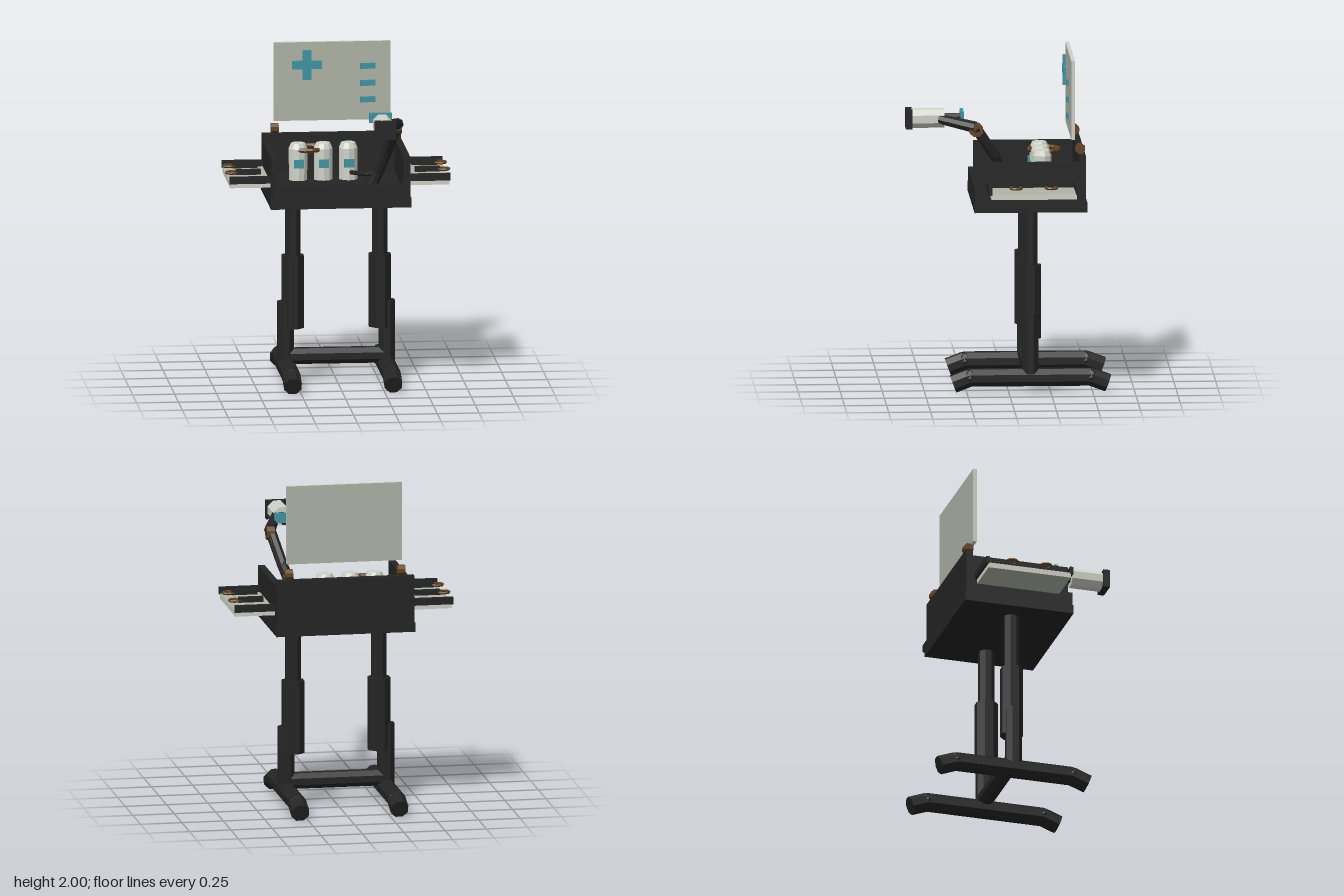
import * as THREE from 'three';

export function createModel() {
  const model = new THREE.Group();
  const mat = (name, color) => {
    const m = new THREE.MeshStandardMaterial({ color, flatShading: true });
    m.name = name;
    return m;
  };
  const dark = mat('dark metal', 0x242424);
  const light = mat('pale plastic', 0xd0d3c8);
  const glass = mat('grey panel', 0xb0b4a7);
  const teal = mat('teal', 0x3d96a4);
  const brown = mat('bronze', 0x66431f);
  const V = (p) => new THREE.Vector3(...p);

  const add = (name, geo, material, pos = [0, 0, 0]) => {
    const m = new THREE.Mesh(geo, material);
    m.name = name;
    m.position.set(...pos);
    model.add(m);
    return m;
  };
  // box given by its minimum and maximum corners
  const box = (name, a, b, material) => add(name,
    new THREE.BoxGeometry(b[0] - a[0], b[1] - a[1], b[2] - a[2]), material,
    a.map((v, i) => (v + b[i]) / 2));
  // faceted rod between two points
  const rod = (name, a, b, r1, r2, material, sides = 8) => {
    const d = V(b).sub(V(a));
    const g = new THREE.CylinderGeometry(r2, r1, d.length(), sides);
    g.rotateY(Math.PI / sides);
    const m = add(name, g, material, a.map((v, i) => (v + b[i]) / 2));
    m.quaternion.setFromUnitVectors(new THREE.Vector3(0, 1, 0), d.normalize());
    return m;
  };
  const chain = (name, pts, r, material, sides = 8) => {
    for (let i = 0; i < pts.length - 1; i++) rod(name, pts[i], pts[i + 1], r, r, material, sides);
    for (let i = 1; i < pts.length - 1; i++) add(name + 'Joint', new THREE.IcosahedronGeometry(r, 1), material, pts[i]);
  };

  // workstation body
  box('basePlate', [-0.42, 1.10, -0.465], [0.42, 1.155, 0.208], dark);
  box('floor', [-0.41, 1.15, -0.455], [0.41, 1.20, 0.19], dark);
  box('frontLip', [-0.41, 1.15, 0.17], [0.41, 1.24, 0.205], dark);
  box('backWall', [-0.415, 1.15, -0.455], [0.415, 1.44, -0.415], dark);

  for (const s of [-1, 1]) {
    const span = (x0, x1) => s > 0 ? [x0, x1] : [-x1, -x0];
    const sideBox = (name, x0, x1, y0, y1, z0, z1, material) => {
      const [a, b] = span(x0, x1);
      return box(name, [a, y0, z0], [b, y1, z1], material);
    };
    sideBox('sideWall', 0.375, 0.415, 1.15, 1.40, -0.44, 0.175, dark);

    // pull-out tray with rails
    sideBox('tray', 0.41, 0.655, 1.218, 1.25, -0.39, 0.12,
      [light, light, glass, glass, light, light]);
    for (const z of [-0.395, 0.125])
      sideBox('trayRail', 0.41, 0.66, 1.245, 1.288, z - 0.011, z + 0.011, dark);

    // hand tools lying on the tray
    for (const z of [-0.238, 0.028 - 0.056]) {
      sideBox('toolHandle', 0.46, 0.61, 1.272, 1.302, z - 0.018, z + 0.018, dark);
      const ring = add('toolRing', new THREE.TorusGeometry(0.034, 0.008, 5, 10), brown, [s * 0.632, 1.285, z]);
      ring.rotation.x = Math.PI / 2;
    }

    // hinges of the panel
    rod('hinge', [s * 0.34 - 0.023, 1.472, -0.425], [s * 0.34 + 0.023, 1.472, -0.425], 0.031, 0.031, brown);

    // telescopic leg
    const z = -0.13;
    rod('upperLeg', [s * 0.26, 0.70, z], [s * 0.26, 1.11, z], 0.048, 0.048, dark);
    rod('legSleeve', [s * 0.26, 0.32, z], [s * 0.26, 0.76, z], 0.07, 0.07, dark);
    rod('lowerLeg', [s * 0.302, 0.09, z], [s * 0.302, 0.48, z], 0.052, 0.052, dark);
    // foot with drooping ends
    chain('foot', [[s * 0.30, 0.05, 0.33], [s * 0.30, 0.088, 0.23], [s * 0.30, 0.088, -0.49], [s * 0.30, 0.05, -0.592]], 0.056, dark);
  }
  rod('crossbar', [-0.30, 0.148, -0.13], [0.30, 0.148, -0.13], 0.051, 0.051, dark);

  // upright panel with raised symbols
  box('panel', [-0.35, 1.525, -0.395], [0.347, 2, -0.372], [light, light, light, light, glass, glass]);
  box('crossHorizontal', [-0.243, 1.84, -0.362], [-0.063, 1.89, -0.346], teal);
  box('crossVertical', [-0.18, 1.775, -0.3615], [-0.128, 1.955, -0.3455], teal);
  for (const y of [1.65, 1.75, 1.853])
    box('panelBar', [0.165, y - 0.017, -0.362], [0.255, y + 0.017, -0.35], teal);

  // bottles with labels
  const profile = [[0, 0], [0.056, 0], [0.057, 0.19], [0.043, 0.222], [0, 0.222]]
    .map(([x, y]) => new THREE.Vector2(x, y));
  for (const x of [-0.22, -0.07, 0.08]) {
    add('bottle', new THREE.LatheGeometry(profile, 10), light, [x, 1.2, -0.21]);
    box('bottleLabel', [x - 0.03, 1.28, -0.155], [x + 0.03, 1.33, -0.142], teal);
  }
  // loop resting between the bottles
  const loop = add('coilLoop', new THREE.TorusGeometry(0.09, 0.014, 6, 14), brown, [-0.163, 1.385, -0.235]);
  loop.rotation.x = Math.PI / 2;

  // jointed arm with its cable
  chain('cable', [[0.09, 1.25, -0.15], [0.18, 1.255, -0.05], [0.26, 1.29, 0.01], [0.34, 1.56, 0.155]], 0.013, dark, 6);
  chain('upperArm', [[0.20, 1.20, 0.02], [0.235, 1.28, 0.03], [0.285, 1.42, 0.08], [0.335, 1.6, 0.195]], 0.033, dark);
  rod('elbow', [0.314, 1.59, 0.195], [0.361, 1.59, 0.195], 0.043, 0.043, brown);
  rod('forearm', [0.338, 1.605, 0.20], [0.262, 1.645, 0.41], 0.036, 0.03, dark);

  // lamp head
  rod('headStem', [0.235, 1.645, 0.27], [0.235, 1.645, 0.39], 0.03, 0.03, dark);
  rod('headBody', [0.228, 1.645, 0.38], [0.228, 1.645, 0.575], 0.06, 0.06, light);
  box('headCap', [0.165, 1.588, 0.57], [0.292, 1.7, 0.61], dark);
  box('headPlate', [0.16, 1.63, 0.265], [0.297, 1.69, 0.285], teal);

  return model;
}
